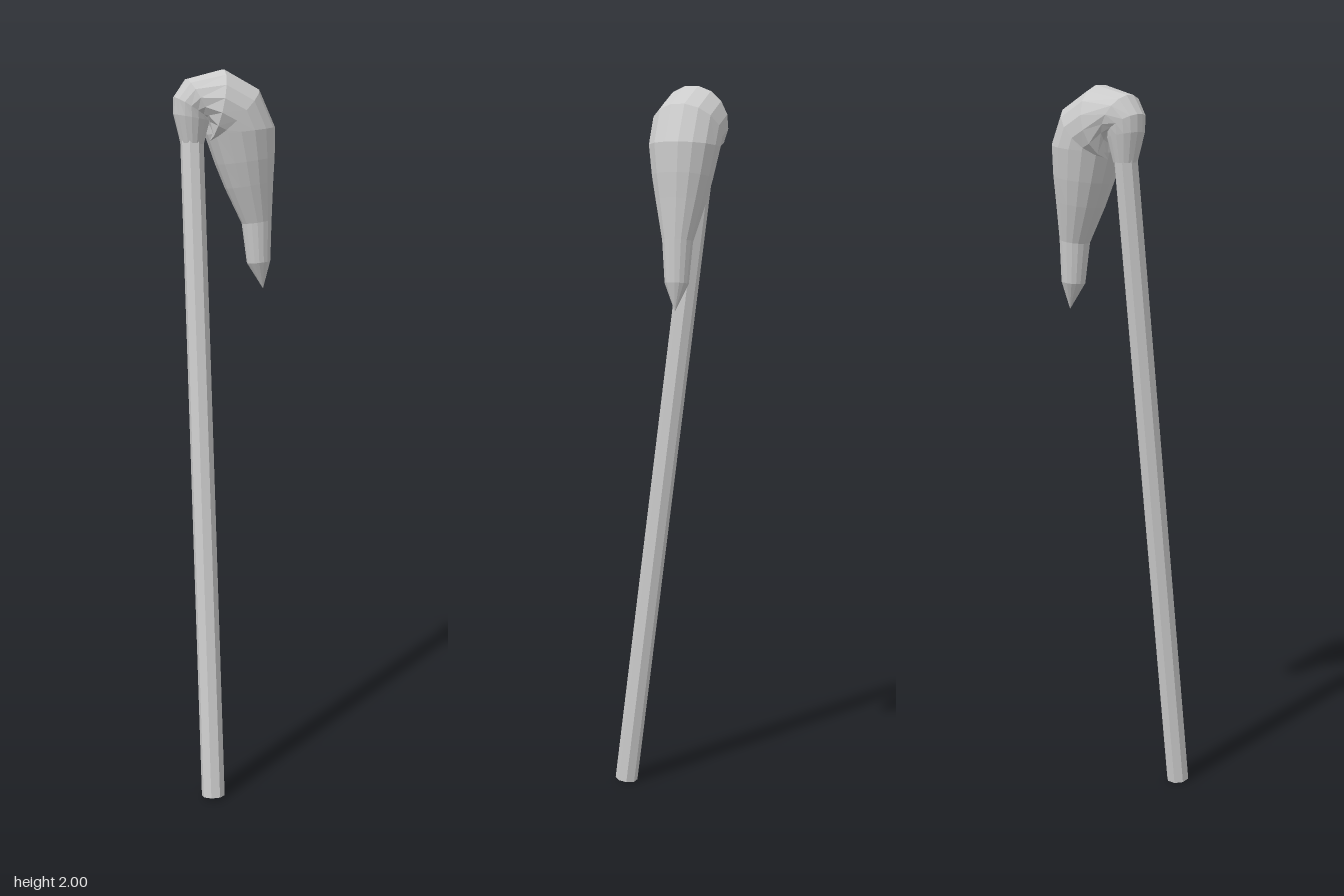
import * as THREE from 'three';

const material = new THREE.MeshStandardMaterial({ color: 0xcccccc, flatShading: true });
const SIDES = 16;
const BUD_Z = -0.082;

// Rings along the hooked bud: centre x, centre y, radius, angle of the outer side in degrees
const RINGS = [
  [-0.09, 1.8, 0, 180],
  [-0.09, 1.8, 0.032, 180],
  [-0.092, 1.87, 0.05, 170],
  [-0.094, 1.895, 0.055, 148],
  [-0.075, 1.91, 0.07, 117],
  [-0.025, 1.902, 0.099, 78],
  [0.025, 1.876, 0.098, 45],
  [0.043, 1.835, 0.097, 6],
  [0.058, 1.755, 0.083, 8],
  [0.07, 1.69, 0.068, 10],
  [0.092, 1.587, 0.042, 8],
  [0.098, 1.475, 0.033, 6],
  [0.111, 1.4, 0, 6],
];

// Skin the round rings into one closed, hooked body
function budGeometry() {
  const position = [];
  const index = [];
  RINGS.forEach(([cx, cy, r, degrees], i) => {
    const angle = THREE.MathUtils.degToRad(degrees);
    for (let j = 0; j < SIDES; j++) {
      const t = ((j + 0.5) / SIDES) * Math.PI * 2;
      const out = r * Math.cos(t);
      position.push(cx + out * Math.cos(angle), cy + out * Math.sin(angle), BUD_Z + r * Math.sin(t));
      if (i === RINGS.length - 1) continue;
      const a = i * SIDES + j;
      const b = i * SIDES + ((j + 1) % SIDES);
      if (r > 0) index.push(a, b, a + SIDES);
      if (RINGS[i + 1][2] > 0) index.push(b, b + SIDES, a + SIDES);
    }
  });
  const geometry = new THREE.BufferGeometry();
  geometry.setAttribute('position', new THREE.Float32BufferAttribute(position, 3));
  geometry.setIndex(index);
  geometry.computeVertexNormals();
  return geometry;
}

export function createModel() {
  const model = new THREE.Group();
  model.name = 'droopingBud';

  // Leaning eight-sided stem
  const bottom = new THREE.Vector3(-0.091, 0.004, 0.153);
  const top = new THREE.Vector3(-0.091, 1.83, -0.084);
  const length = bottom.distanceTo(top);
  const stem = new THREE.Mesh(
    new THREE.CylinderGeometry(0.0325, 0.0325, length, 8, 1, false, Math.PI / 8), material);
  stem.name = 'stem';
  stem.position.addVectors(bottom, top).multiplyScalar(0.5);
  stem.rotation.x = Math.atan2(top.z - bottom.z, top.y - bottom.y);
  model.add(stem);

  // Hooked bud hanging to the side
  const bud = new THREE.Mesh(budGeometry(), material);
  bud.name = 'bud';
  model.add(bud);

  return model;
}
